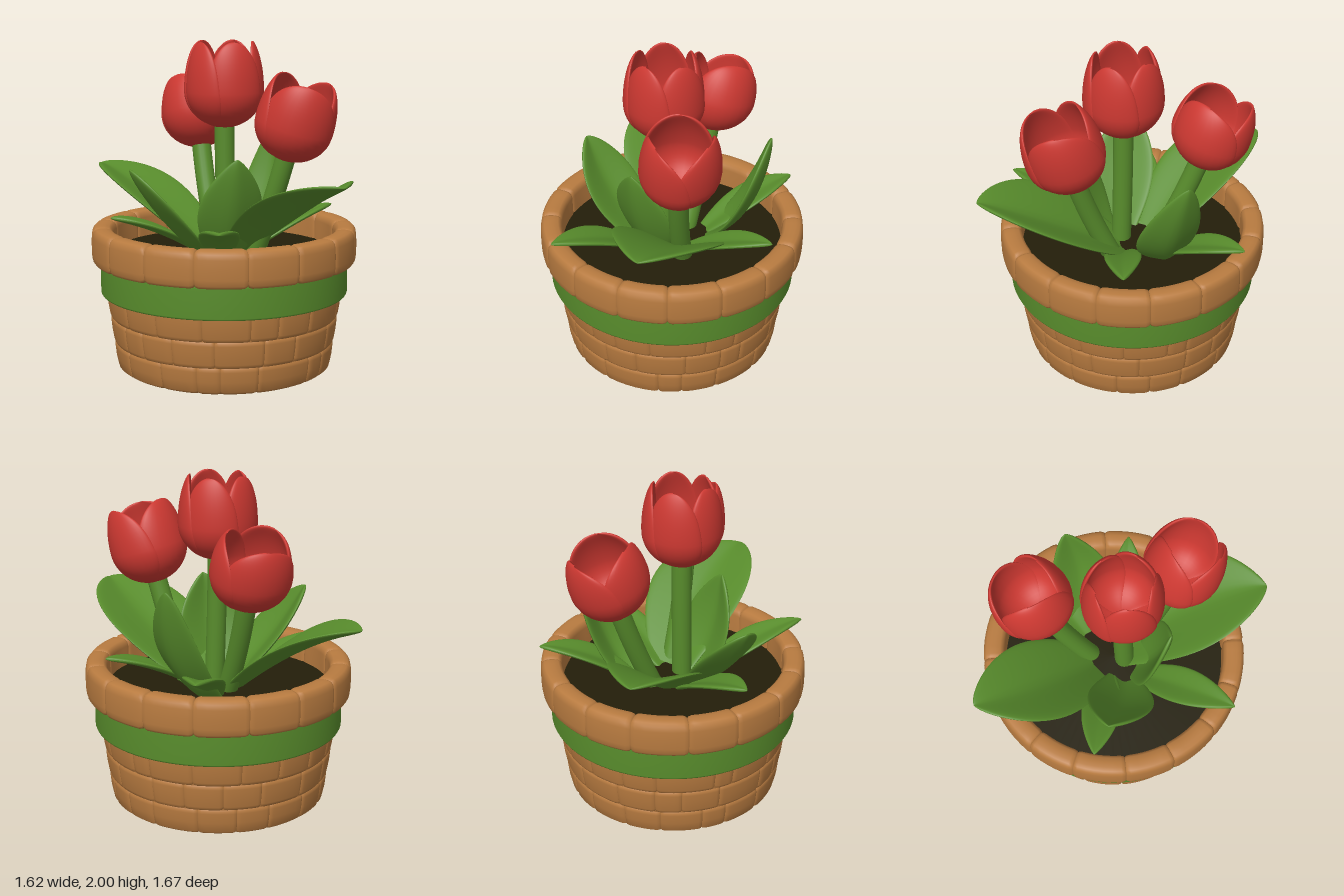
import * as THREE from 'three';

const V = (x, y, z) => new THREE.Vector3(x, y, z);
const rad = THREE.MathUtils.degToRad;
const mat = (name, color) => {
  const m = new THREE.MeshStandardMaterial({ color });
  m.name = name;
  return m;
};

// Smooth surface through rows of points
function skin(rows, closed = false) {
  const n = rows[0].length, index = [];
  for (let j = 0; j < rows.length - 1; j++) {
    for (let k = 0; k < (closed ? n : n - 1); k++) {
      const k1 = (k + 1) % n;
      const a = j * n + k, b = j * n + k1, c = a + n, d = b + n;
      index.push(a, b, c, b, d, c);
    }
  }
  const g = new THREE.BufferGeometry().setFromPoints(rows.flat());
  g.setIndex(index);
  g.computeVertexNormals();
  return g;
}

// Thick curved sheet around f(u, v), u in -1..1, v in 0..1
function sheet(f, half, nu = 18, nv = 28) {
  const e = 0.01, rows = [];
  for (let j = 0; j <= nv; j++) {
    const v = Math.sin((j / nv) * Math.PI / 2), top = [], under = [];
    for (let i = 0; i <= nu; i++) {
      const u = -Math.cos((i / nu) * Math.PI);
      const uc = THREE.MathUtils.clamp(u, -0.95, 0.95), vc = THREE.MathUtils.clamp(v, 0.03, 0.97);
      const du = f(uc + e, vc).sub(f(uc - e, vc));
      const dv = f(uc, vc + e).sub(f(uc, vc - e));
      const n = du.cross(dv).normalize();
      const t = half * Math.sqrt(Math.max(0, 1 - u ** 8)) * Math.sqrt(Math.max(0, 1 - v ** 16));
      const p = f(u, v);
      top.push(p.clone().addScaledVector(n, t));
      under.unshift(p.clone().addScaledVector(n, -t));
    }
    rows.push([...top, ...under]);
  }
  return skin(rows, true);
}

// Curved block: a profile of [r, y] swept from angle a0 to a1, sunk towards a core at both ends
function block(a0, a1, profile, core, sink) {
  const stops = [[a0, 1], [a0 + 0.01, 0.4], [a0 + 0.035, 0]];
  for (let i = 1; i < 5; i++) stops.push([THREE.MathUtils.lerp(a0 + 0.035, a1 - 0.035, i / 5), 0]);
  stops.push([a1 - 0.035, 0], [a1 - 0.01, 0.4], [a1, 1]);
  return skin(profile.map(([r, y]) => stops.map(([a, s]) => {
    const rr = r + (core[0] - r) * s * sink, yy = y + (core[1] - y) * s * sink;
    return V(rr * Math.sin(a), yy, rr * Math.cos(a));
  })));
}

export function createModel() {
  const brick = mat('brick clay', 0xb87b40);
  const green = mat('leaf green', 0x588c2c);
  const red = mat('petal red', 0xcc3831);
  const earth = mat('dark soil', 0x231e09);

  const model = new THREE.Group();
  model.name = 'pottedTulips';
  const add = (parent, name, geometry, material) => {
    const m = new THREE.Mesh(geometry, material);
    m.name = name;
    parent.add(m);
  };
  const lathe = (pts) => new THREE.LatheGeometry(pts.map(([x, y]) => new THREE.Vector2(x, y)), 72);

  // Pot
  const pot = new THREE.Group();
  pot.name = 'pot';
  pot.position.z = -0.028;
  model.add(pot);
  add(pot, 'potLiner', lathe([[0, 0], [0.59, 0], [0.605, 0.002], [0.632, 0.025], [0.64, 0.04], [0.705, 0.48], [0.7, 0.7]]), brick);
  add(pot, 'greenBand', lathe([[0.7, 0.473], [0.74, 0.473], [0.75, 0.476], [0.755, 0.486], [0.755, 0.66], [0.75, 0.67], [0.7, 0.67]]), green);
  add(pot, 'soil', lathe([[0.7, 0.72], [0.4, 0.725], [0, 0.735]]), earth);

  // Ring of blocks with slightly uneven seams
  let seed = 7;
  const jitter = () => {
    seed = (seed * 16807) % 2147483647;
    return seed / 2147483647 - 0.5;
  };
  const ring = (name, count, offset, uneven, profile, core, sink) => {
    const seams = Array.from({ length: count }, (_, i) => offset + (i + uneven * jitter()) * Math.PI * 2 / count);
    seams.push(seams[0] + Math.PI * 2);
    for (let i = 0; i < count; i++) add(pot, name, block(seams[i], seams[i + 1], profile, core, sink), brick);
  };

  // Brick courses
  const wall = (y) => 0.652 + 0.142 * y;
  const courses = [[0, 0.17, 0.1], [0.17, 0.33, 0], [0.33, 0.49, 0.17]];
  courses.forEach(([y0, y1, offset], row) => {
    const profile = [[0, 0.01], [0.05, 0.004], [0.14, 0], [0.5, -0.002], [0.86, 0], [0.95, 0.004], [1, 0.01]].map(([t, d]) => {
      const y = y0 + (y1 - y0) * t;
      return [wall(y) - d - (row === 0 ? 0.03 * Math.max(0, 1 - t / 0.2) ** 2 : 0), y];
    });
    ring('wallBrick', 18, offset, 0.6, profile, [wall(y0) - 0.15, (y0 + y1) / 2], 0.07);
  });

  // Rim stones
  const rim = [[0.7, 0.664], [0.77, 0.664], [0.79, 0.669], [0.802, 0.685], [0.807, 0.72], [0.808, 0.78], [0.806, 0.835],
    [0.8, 0.865], [0.785, 0.881], [0.76, 0.887], [0.73, 0.887], [0.7, 0.881], [0.684, 0.868], [0.676, 0.84], [0.674, 0.7]];
  ring('rimStone', 16, rad(14.5), 0.12, rim, [0.735, 0.775], 0.14);

  // Cupped petal: each one tucks one edge inside its neighbour
  const petal = (angle, spread, rise) => sheet((u, v) => {
    const phi = rad(-89 + 131 * v);
    const a = angle + u * rad(spread) * Math.sqrt(Math.max(0, 1 - v ** 6));
    const r = 0.222 * (1 + 0.035 * u) * Math.cos(phi);
    const y = 0.21 + (phi < 0 ? 0.21 : rise / Math.sin(rad(42))) * Math.sin(phi);
    return V(r * Math.sin(a), y, r * Math.cos(a));
  }, 0.014);

  // Tulips: stem foot, bloom base, bloom direction, petal count, spread, turn, rise above the widest point
  const tulips = [
    [V(0, 0.7, 0.04), V(-0.015, 1.5, 0.027), V(0, 1, 0), 5, 50, 0, 0.29],
    [V(0.16, 0.7, 0.07), V(0.285, 1.325, 0.275), V(0.1, 0.5, 0.11), 3, 76, -20, 0.265],
    [V(0, 0.7, -0.17), V(-0.02, 1.325, -0.43), V(0, 0.5, -0.16), 3, 76, 180, 0.225],
  ];
  for (const [foot, base, dir, count, spread, turn, rise] of tulips) {
    const tulip = new THREE.Group();
    tulip.name = 'tulip';
    model.add(tulip);
    dir.normalize();
    const path = new THREE.QuadraticBezierCurve3(foot, base.clone().addScaledVector(dir, -0.3), base.clone().addScaledVector(dir, 0.03));
    add(tulip, 'stem', new THREE.TubeGeometry(path, 16, 0.06, 18), green);
    const bloom = new THREE.Group();
    bloom.name = 'bloom';
    bloom.position.copy(base);
    bloom.quaternion.setFromUnitVectors(V(0, 1, 0), dir);
    tulip.add(bloom);
    for (let i = 0; i < count; i++) add(bloom, 'petal', petal(rad(turn + i * 360 / count), spread, rise), red);
  }

  // Leaves: base, bend, tip, half width, cupping, tip sharpness
  const leaf = (base, bend, tip, width, cup, sharp) => {
    const curve = new THREE.QuadraticBezierCurve3(base, bend, tip);
    const side = V(tip.z - base.z, 0, base.x - tip.x).normalize();
    return sheet((u, v) => {
      const t = Math.min(v, 1);
      const w = width * Math.max(0, Math.sin(Math.PI * (0.12 + 0.88 * t ** 1.1))) ** sharp;
      const lift = curve.getTangent(t).cross(side).normalize();
      return curve.getPoint(t).addScaledVector(side, u * w)
        .addScaledVector(lift, cup * w * (Math.sqrt(u * u + 0.02) - 0.14));
    }, 0.014);
  };
  const leaves = [
    ['broadLeaf', V(0.1, 0.72, 0.04), V(0.38, 1.1, 0.45), V(0.43, 1.22, 0.83), 0.32, 0.3, 0.72],
    ['broadLeaf', V(-0.08, 0.72, -0.15), V(-0.4, 1.08, -0.42), V(-0.6, 1.19, -0.75), 0.27, 0.3, 0.68],
    ['uprightLeaf', V(-0.03, 0.7, 0.12), V(-0.04, 0.98, 0.3), V(-0.03, 1.33, 0.32), 0.2, 0.35, 0.75],
    ['uprightLeaf', V(-0.14, 0.7, 0.06), V(-0.45, 0.95, 0.1), V(-0.61, 1.26, 0.05), 0.2, 0.35, 0.65],
    ['uprightLeaf', V(0.14, 0.7, -0.25), V(0.47, 0.92, -0.28), V(0.46, 1.43, -0.4), 0.19, 0.4, 0.65],
    ['smallLeaf', V(-0.08, 0.7, 0.15), V(-0.18, 0.93, 0.42), V(-0.28, 0.985, 0.76), 0.12, 0.25, 0.8],
    ['smallLeaf', V(-0.12, 0.7, -0.05), V(-0.42, 0.9, -0.03), V(-0.71, 0.965, -0.02), 0.12, 0.25, 0.8],
    ['smallLeaf', V(0.1, 0.7, -0.22), V(0.27, 0.93, -0.45), V(0.4, 0.98, -0.73), 0.12, 0.25, 0.8],
    ['smallLeaf', V(0.12, 0.7, 0), V(0.42, 0.9, -0.01), V(0.72, 0.965, -0.06), 0.11, 0.25, 0.8],
  ];
  for (const [name, ...shape] of leaves) add(model, name, leaf(...shape), green);

  return model;
}
